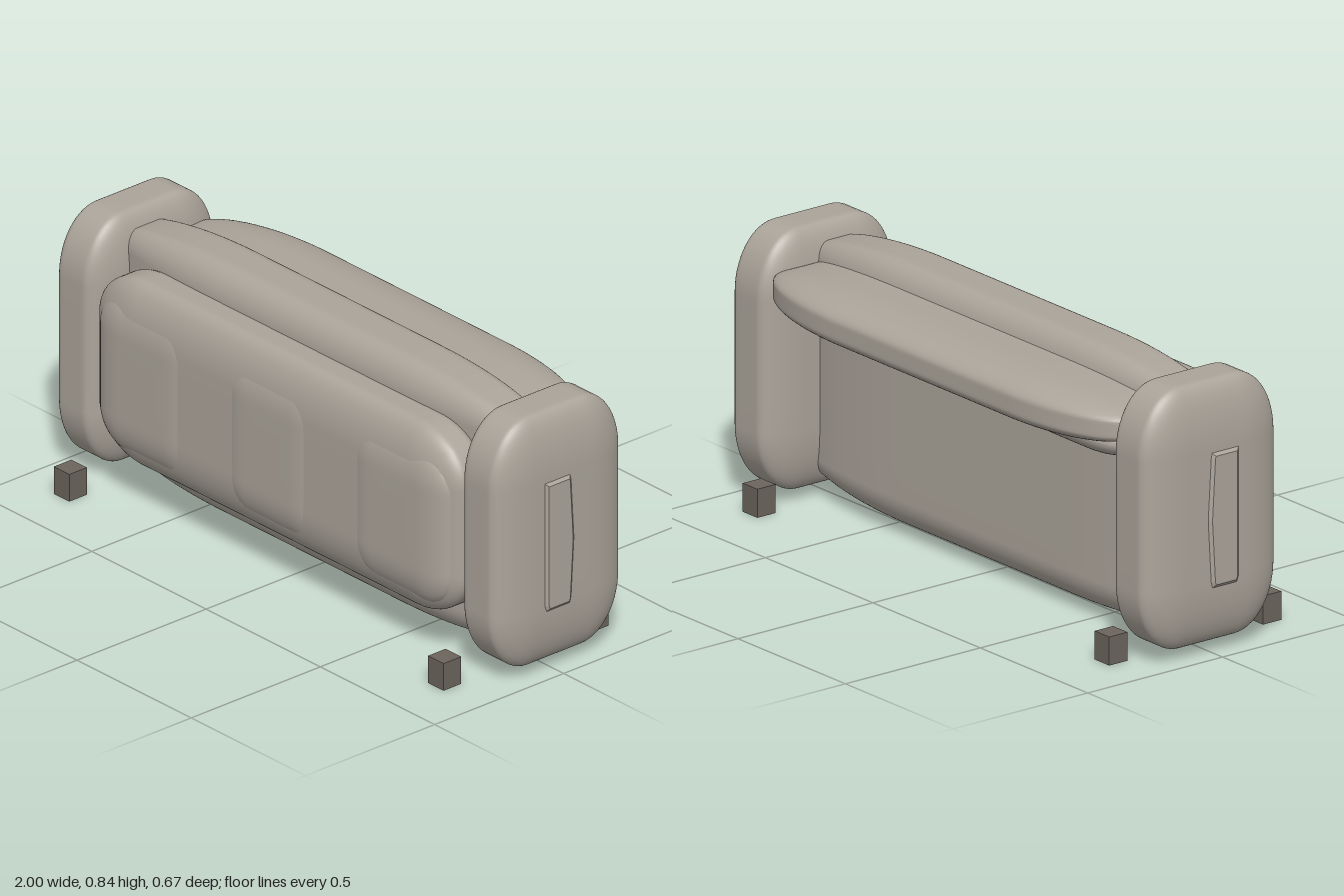
import * as THREE from 'three';
import { mergeVertices } from 'three/addons/utils/BufferGeometryUtils.js';

const fabric = new THREE.MeshStandardMaterial({ color: 0xaba49a });
const dark = new THREE.MeshStandardMaterial({ color: 0x6b645d });

// Soft box between two corners, with a separate rounding radius along each axis
function cushion(name, min, max, radii, segments = 20) {
  const flat = 0.3; // share of the grid spent on the flat middle
  let geo = new THREE.BoxGeometry(2, 2, 2, segments, segments, segments);
  geo.deleteAttribute('uv');
  geo.deleteAttribute('normal');
  geo = mergeVertices(geo);
  const pos = geo.attributes.position;
  for (let i = 0; i < pos.count; i++) {
    const inner = [], d = [];
    for (let a = 0; a < 3; a++) {
      const u = pos.getComponent(i, a), s = Math.sign(u), t = Math.abs(u);
      const core = (max[a] - min[a]) / 2 - radii[a];
      inner[a] = s * core * Math.min(t / flat, 1);
      d[a] = t > flat ? s * Math.tan(((t - flat) / (1 - flat)) * Math.PI / 4) : 0;
    }
    const len = Math.hypot(...d);
    for (let a = 0; a < 3; a++) {
      pos.setComponent(i, a, (min[a] + max[a]) / 2 + inner[a] + (d[a] / len) * radii[a]);
    }
  }
  geo.computeVertexNormals();
  const mesh = new THREE.Mesh(geo, fabric);
  mesh.name = name;
  return mesh;
}

export function createModel() {
  const sofa = new THREE.Group();
  sofa.name = 'sofa';

  // Upright body, large front cushion and rear roll
  sofa.add(
    cushion('body', [-0.9, 0.025, -0.1], [0.9, 0.83, 0.13], [0.5, 0.1, 0.075]),
    cushion('frontCushion', [-0.8, 0.14, 0.07], [0.8, 0.74, 0.262], [0.2, 0.16, 0.07]),
    cushion('rearRoll', [-0.82, 0.615, -0.335], [0.82, 0.77, 0.132], [0.42, 0.055, 0.15])
  );

  // Three pads on the front cushion and three under the roll
  for (const x of [-0.55, 0, 0.55]) {
    sofa.add(
      cushion('frontPad', [x - 0.22, 0.18, 0.16], [x + 0.22, 0.68, 0.268], [0.12, 0.12, 0.05], 14),
      cushion('rollPad', [x - 0.26, 0.568, -0.23], [x + 0.26, 0.68, 0.05], [0.18, 0.055, 0.1], 14)
    );
  }

  for (const side of [-1, 1]) {
    // Arms
    const arm = cushion('arm', [-0.105, 0.035, -0.262], [0.105, 0.84, 0.235], [0.06, 0.2, 0.145]);
    arm.position.x = side * 0.887;
    sofa.add(arm);

    // Thin bevelled panel on the outside of each arm
    const outline = new THREE.Shape([
      [-0.068, 0.235], [-0.06, 0.215], [0.032, 0.215], [0.038, 0.235],
      [0.049, 0.425], [0.038, 0.615], [0.034, 0.635], [-0.068, 0.635],
    ].map(([z, y]) => new THREE.Vector2(z * side, y)));
    const panel = new THREE.Mesh(
      new THREE.ExtrudeGeometry(outline, { depth: 0.02, bevelThickness: 0.01, bevelSize: 0.012, bevelOffset: -0.012, bevelSegments: 1 }),
      fabric
    );
    panel.name = 'armPanel';
    panel.rotation.y = side * Math.PI / 2;
    panel.position.x = side * 0.97;
    sofa.add(panel);

    // Square feet
    for (const z of [0.301, -0.269]) {
      const foot = new THREE.Mesh(new THREE.BoxGeometry(0.068, 0.088, 0.068), dark);
      foot.name = 'foot';
      foot.position.set(side * 0.819, 0.044, z);
      sofa.add(foot);
    }
  }
  return sofa;
}
